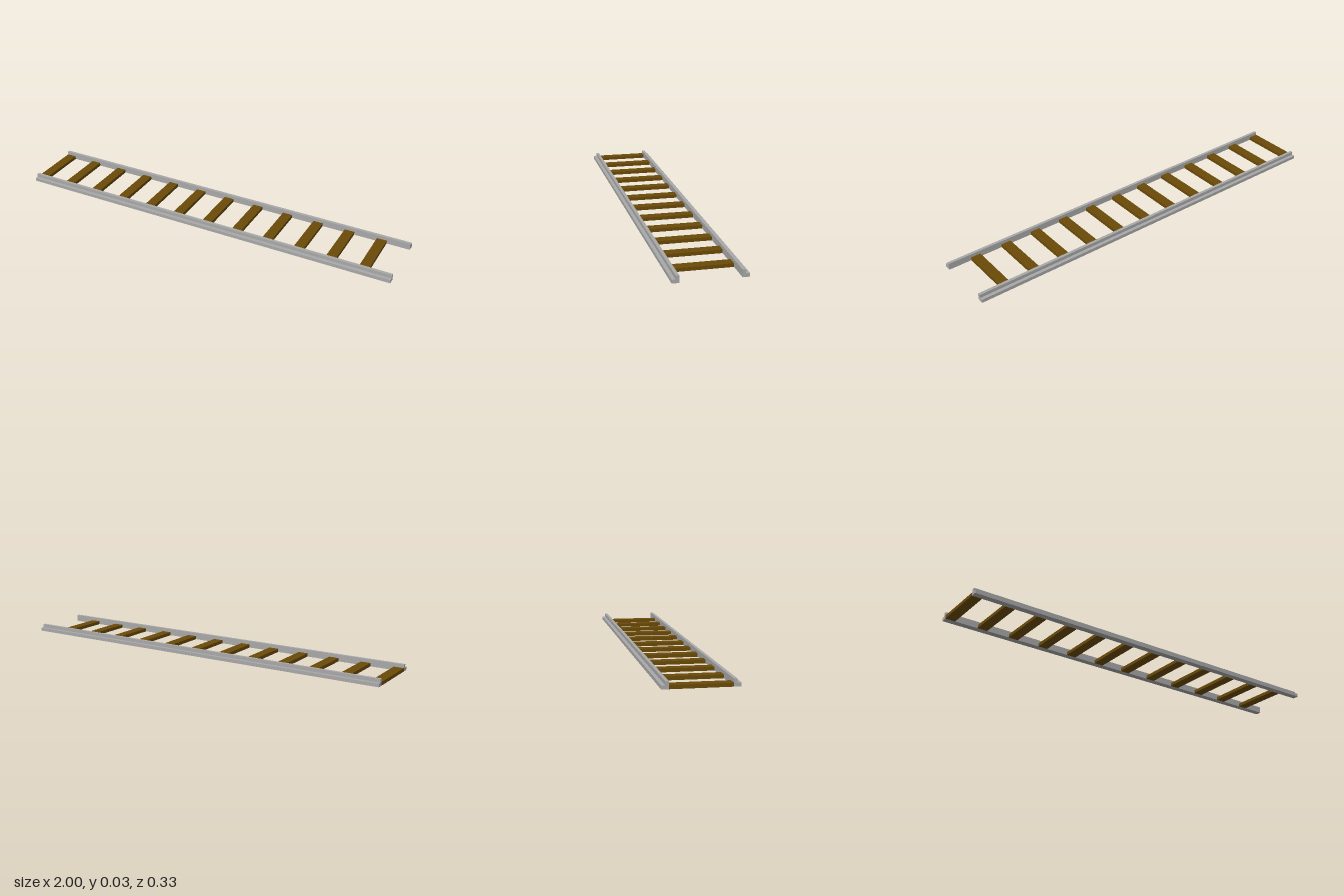
import * as THREE from 'three';

export function createModel() {
  const group = new THREE.Group();
  const steel = new THREE.MeshStandardMaterial({ name: 'grey steel', color: 0xa9a9a9 });
  const wood = new THREE.MeshStandardMaterial({ name: 'brown wood', color: 0x6b4a08 });

  const length = 2, inner = 0.135, web = 0.15, outer = 0.167;
  const low = 0.0167, high = 0.0335;

  // L-shaped rails: upright on the inside, flange facing outwards
  for (const side of [1, -1]) {
    const points = [[inner, 0], [outer, 0], [outer, low], [web, low], [web, high], [inner, high]];
    // Shape x becomes -z once the extrusion is turned along x
    const profile = new THREE.Shape(points.map(([z, y]) => new THREE.Vector2(-side * z, y)));
    const geometry = new THREE.ExtrudeGeometry(profile, { depth: length, bevelEnabled: false });
    geometry.translate(0, 0, -length / 2).rotateY(Math.PI / 2);
    const rail = new THREE.Mesh(geometry, steel);
    rail.name = side > 0 ? 'frontRail' : 'backRail';
    group.add(rail);
  }

  // Evenly spaced ties, the first flush with the -x end
  const tieWidth = 0.05, count = 12, pitch = length / count;
  const tieGeometry = new THREE.BoxGeometry(tieWidth, low, inner * 2);
  for (let i = 0; i < count; i++) {
    const tie = new THREE.Mesh(tieGeometry, wood);
    tie.name = `tie${i + 1}`;
    tie.position.set(-length / 2 + tieWidth / 2 + i * pitch, low / 2, 0);
    group.add(tie);
  }
  return group;
}
